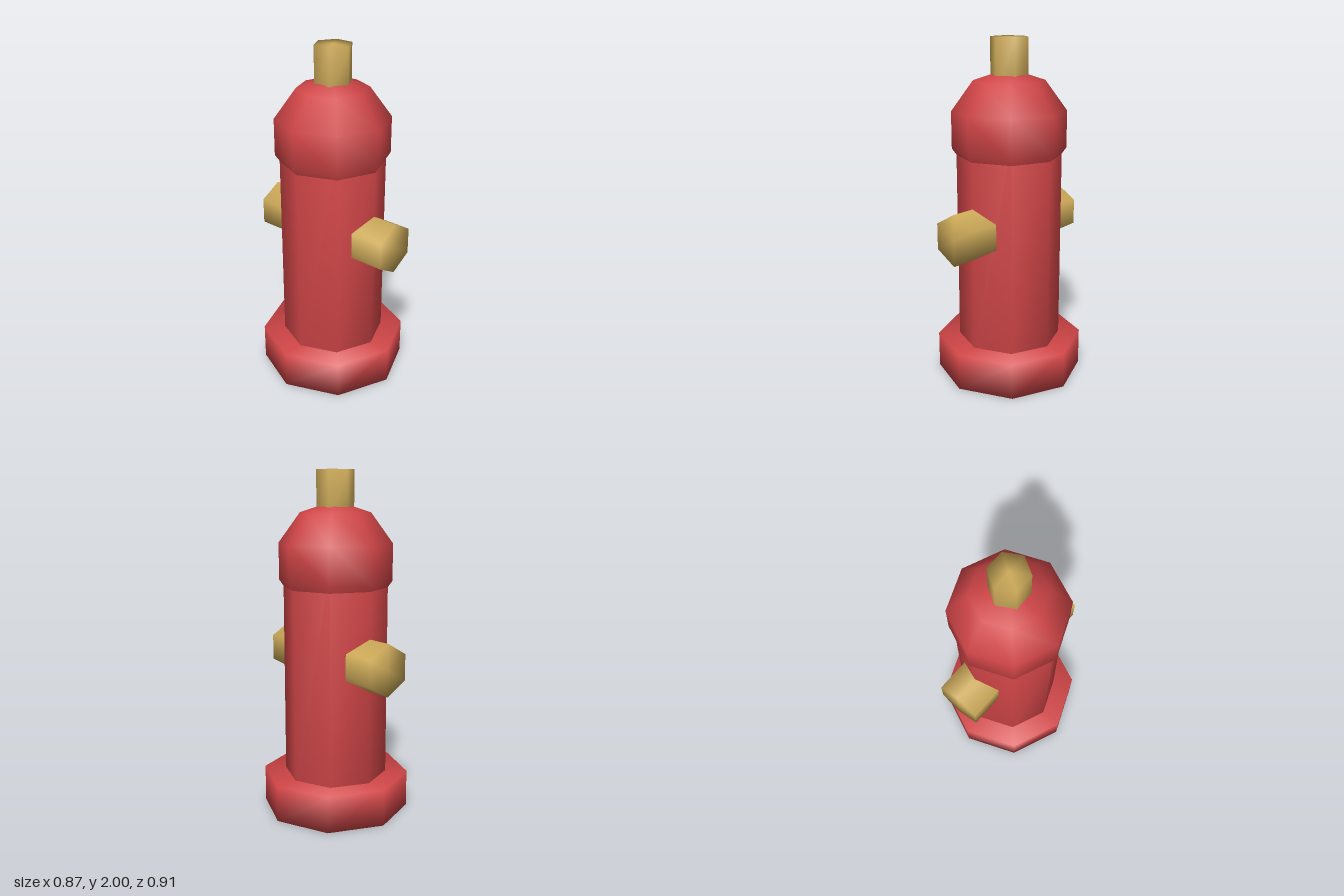
import * as THREE from 'three';
import { mergeVertices } from 'three/addons/utils/BufferGeometryUtils.js';

// Weld all corners so shading runs smoothly over every edge, caps included
function weld(geometry) {
  geometry.deleteAttribute('normal');
  geometry.deleteAttribute('uv');
  const welded = mergeVertices(geometry, 1e-4);
  welded.computeVertexNormals();
  return welded;
}

export function createModel() {
  const model = new THREE.Group();
  model.name = 'fireHydrant';

  const red = new THREE.MeshStandardMaterial({ color: 0xd04547 });
  red.name = 'hydrantRed';
  const brass = new THREE.MeshStandardMaterial({ color: 0xcfac5a });
  brass.name = 'brass';

  function add(name, geometry, material, y) {
    const mesh = new THREE.Mesh(weld(geometry), material);
    mesh.name = name;
    mesh.position.y = y;
    model.add(mesh);
    return mesh;
  }
  // Upright prism between two heights
  function prism(name, radius, sides, bottom, top, material) {
    const geometry = new THREE.CylinderGeometry(radius, radius, top - bottom, sides);
    return add(name, geometry, material, (bottom + top) / 2);
  }

  prism('base', 0.433, 8, 0, 0.217, red);
  prism('barrel', 0.304, 8, 0.1, 1.48, red);
  add('dome', new THREE.SphereGeometry(0.347, 8, 5), red, 1.48);
  prism('topBolt', 0.109, 6, 1.7, 2, brass);

  // Hexagonal outlets: one bar through the barrel, with a corner pointing up
  const outlets = new THREE.CylinderGeometry(0.151, 0.151, 0.906, 6);
  outlets.rotateX(Math.PI / 2);
  add('outlets', outlets, brass, 0.919);

  return model;
}
